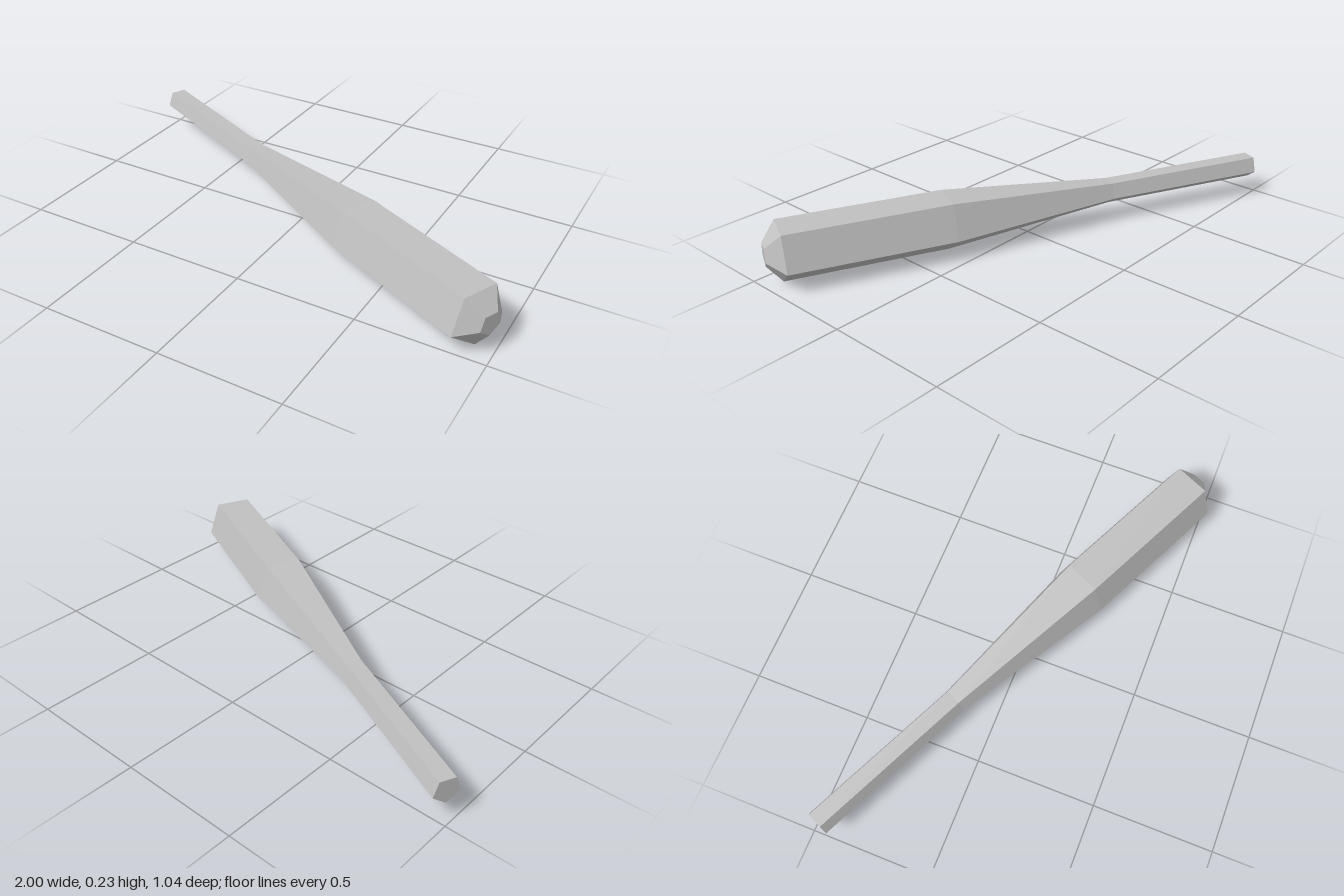
import * as THREE from 'three';

export function createModel() {
  const group = new THREE.Group();
  const grey = new THREE.MeshStandardMaterial({ color: 0xc0c0c0, flatShading: true });
  grey.name = 'light grey';

  // Profile along the bat: [radius, distance], handle end to barrel tip
  const profile = [
    [0, -1.079], [0.0553, -1.079], // handle end
    [0.0553, -0.364],              // handle meets taper
    [0.127, 0.357],                // taper meets barrel
    [0.127, 1.02],                 // barrel end
    [0.0486, 1.08], [0, 1.08],     // bevelled tip
  ].map(([r, d]) => new THREE.Vector2(r, d));

  // Five-sided lathe, laid down with one edge on the ground and turned 25 degrees
  const geometry = new THREE.LatheGeometry(profile, 5, Math.PI / 2).toNonIndexed();
  geometry.rotateZ(-Math.PI / 2);
  geometry.rotateY(-THREE.MathUtils.degToRad(25));
  geometry.translate(0, 0.127, -0.016);
  geometry.computeVertexNormals();

  const bat = new THREE.Mesh(geometry, grey);
  bat.name = 'bat';
  group.add(bat);
  return group;
}
